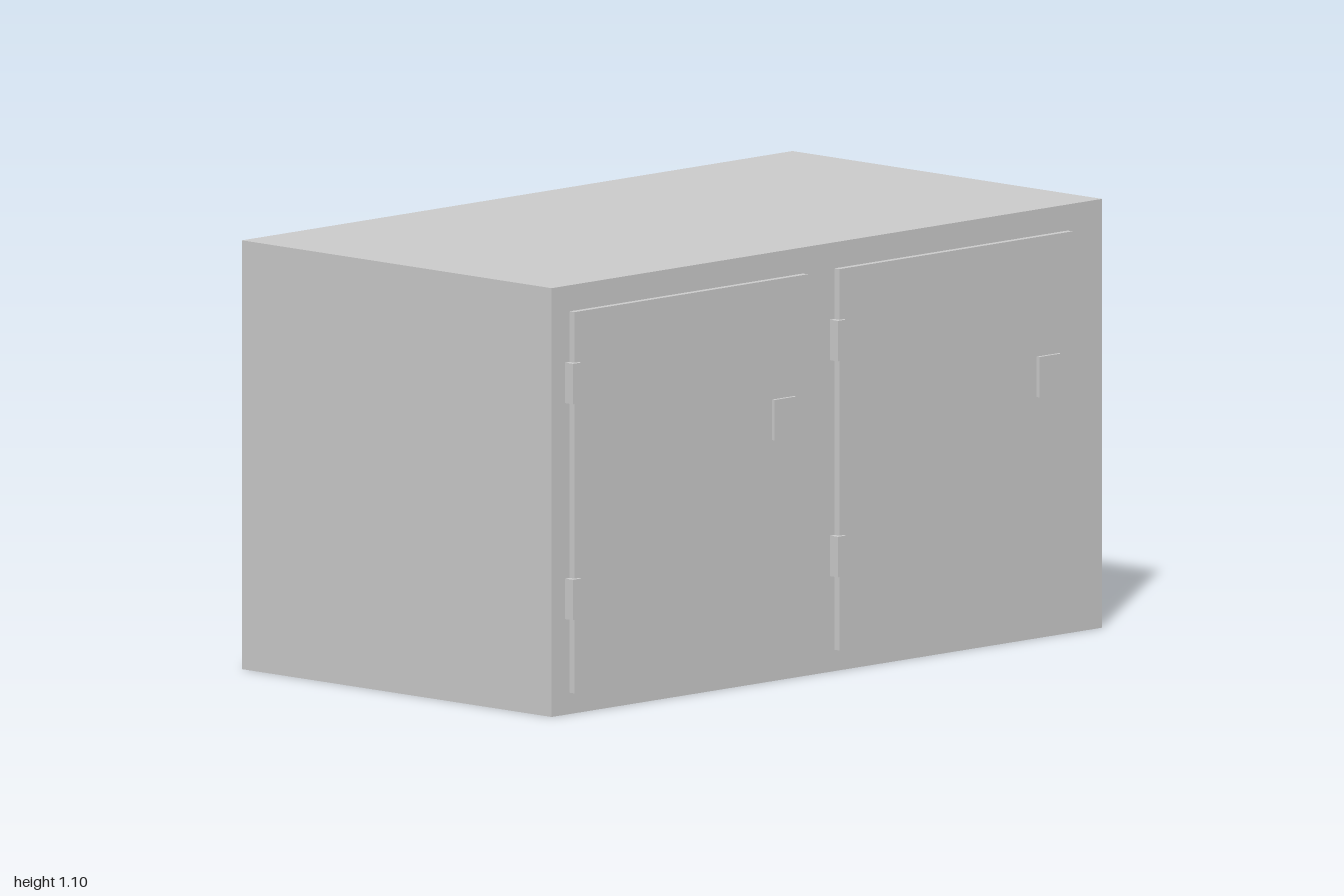
import * as THREE from 'three';

const material = new THREE.MeshStandardMaterial({ color: 0xcccccc, flatShading: true });

// Box given by its lower and upper limits on each axis
function block(name, [x0, x1], [y0, y1], [z0, z1]) {
  const mesh = new THREE.Mesh(new THREE.BoxGeometry(x1 - x0, y1 - y0, z1 - z0), material);
  mesh.position.set((x0 + x1) / 2, (y0 + y1) / 2, (z0 + z1) / 2);
  mesh.name = name;
  return mesh;
}

const FACE = 0.535; // x of the cabinet side that carries the doors
const DOOR = 0.553; // outer face of the door panels
const OUTER = 0.563; // outer face of hinges and latches

// Door hung on its +z edge, which lies at z = 0 of the group
function createDoor(name, hingeZ) {
  const door = new THREE.Group();
  door.name = name;
  door.add(block('doorPanel', [FACE, DOOR], [0.055, 1.035], [-0.848, 0]));
  door.add(block('latch', [DOOR, OUTER], [0.624, 0.728], [-0.797, -0.717]));
  for (const [label, y] of [['lowerHinge', 0.298], ['upperHinge', 0.853]]) {
    door.add(block(label, [FACE, OUTER], [y - 0.052, y + 0.052], [-0.016, 0.016]));
  }
  door.position.z = hingeZ;
  return door;
}

export function createModel() {
  const model = new THREE.Group();
  model.name = 'twoDoorCabinet';
  model.add(block('cabinetBody', [-0.563, FACE], [0, 1.102], [-1, 1]));
  model.add(createDoor('frontDoor', 0.935));
  model.add(createDoor('rearDoor', -0.027));
  return model;
}
